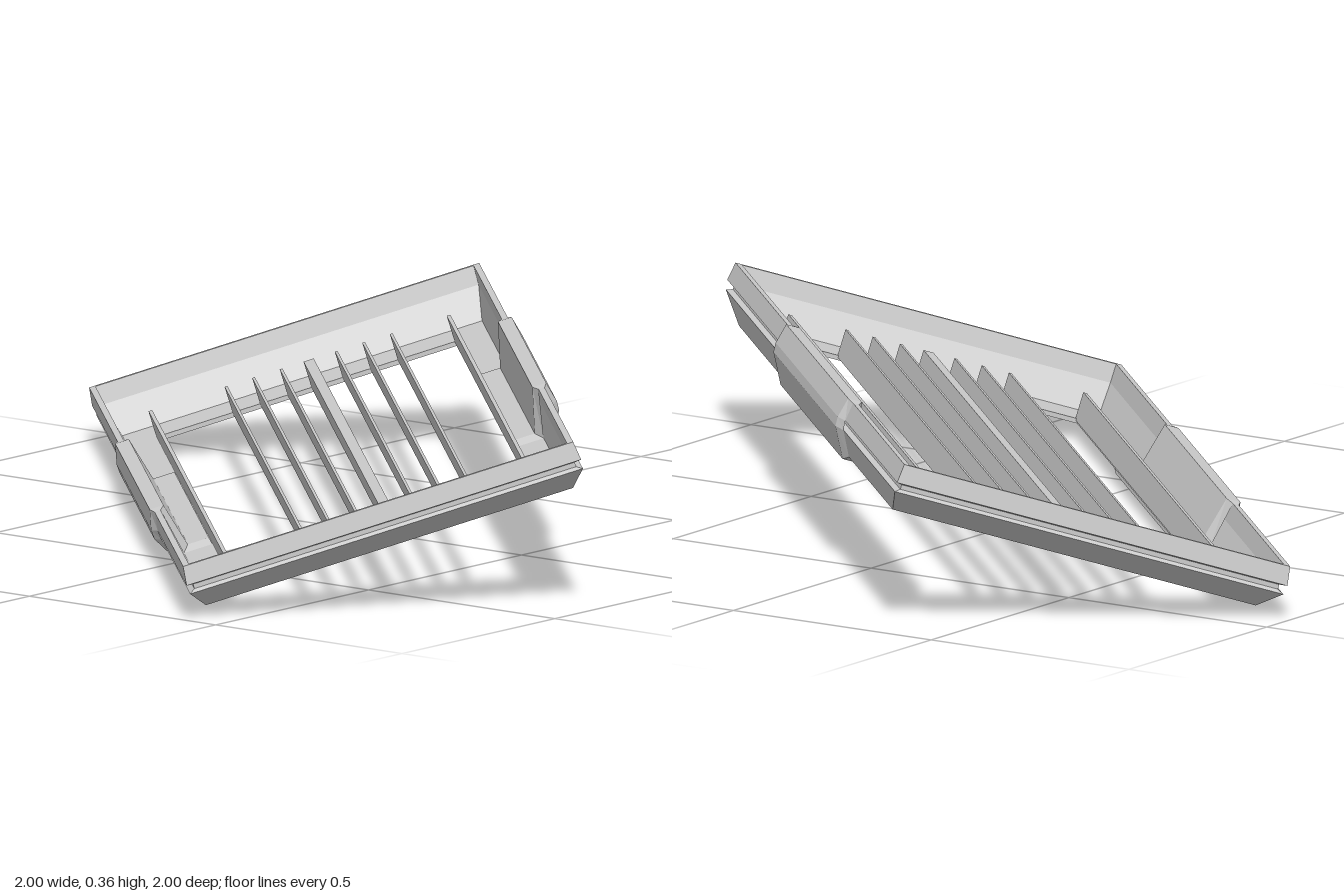
import * as THREE from 'three';

const material = new THREE.MeshStandardMaterial({ color: 0xcccccc, flatShading: true });

// Skin a list of closed rings (each an array of [x, y, z]) with flat quads.
function loft(rings, closed) {
  const pos = [];
  const last = closed ? rings.length : rings.length - 1;
  for (let i = 0; i < last; i++) {
    const a = rings[i], b = rings[(i + 1) % rings.length];
    for (let j = 0; j < a.length; j++) {
      const k = (j + 1) % a.length;
      pos.push(...a[j], ...a[k], ...b[k], ...a[j], ...b[k], ...b[j]);
    }
  }
  const g = new THREE.BufferGeometry();
  g.setAttribute('position', new THREE.Float32BufferAttribute(pos, 3));
  g.computeVertexNormals();
  return g;
}

function add(parent, name, geometry) {
  const mesh = new THREE.Mesh(geometry, material);
  mesh.name = name;
  parent.add(mesh);
  return mesh;
}

export function createModel() {
  const model = new THREE.Group();
  model.name = 'slattedFrame';

  // Everything is built flat, then turned and tilted as one panel
  const panel = new THREE.Group();
  panel.name = 'tiltedPanel';
  panel.rotation.set(0.296, -Math.PI / 4, 0, 'YXZ');
  panel.position.set(-0.006, 0.235, 0.006);
  model.add(panel);

  // Mitred frame: [half length, half width, height] round its section
  const section = [
    [0.995, 0.425, 0], [1.0, 0.43, -0.04], [0.986, 0.416, -0.044], [0.986, 0.416, -0.054],
    [0.996, 0.428, -0.06], [0.905, 0.4, -0.112], [0.8, 0.325, -0.112], [0.8, 0.325, -0.102],
    [0.915, 0.392, -0.102], [0.978, 0.41, -0.04], [0.986, 0.412, 0],
  ];
  const frameRings = section.map(([l, w, y]) => [[l, y, w], [-l, y, w], [-l, y, -w], [l, y, -w]]);
  add(panel, 'frame', loft(frameRings, true));

  // Grips: bulged sleeves around the middle of both long rails, as [z, y]
  const inner = [[0.412, 0], [0.425, 0], [0.43, -0.04], [0.428, -0.06],
    [0.4, -0.112], [0.33, -0.112], [0.33, -0.102], [0.392, -0.102]];
  const outer = [[0.402, 0.003], [0.432, 0.003], [0.442, -0.04], [0.441, -0.06],
    [0.406, -0.123], [0.332, -0.123], [0.332, -0.092], [0.378, -0.092]];
  const station = (profile, x) => profile.map(([z, y]) => [x, y, z]);
  const gripGeometry = loft([
    station(inner, -0.39), station(outer, -0.365), station(outer, 0.365), station(inner, 0.39),
  ], false);
  add(panel, 'frontGrip', gripGeometry);
  add(panel, 'backGrip', gripGeometry).rotation.y = Math.PI;

  // Thin upright slats, with a thicker one in the middle
  const bar = (name, z, thickness) => {
    const mesh = add(panel, name, new THREE.BoxGeometry(1.62, 0.06, thickness));
    mesh.position.set(0, -0.077, z);
  };
  for (let i = -3; i <= 3; i++) {
    bar(i === 0 ? 'centreBar' : 'slat', -0.02 + i * 0.06, i === 0 ? 0.022 : 0.006);
  }

  // Edge strips along the opening
  for (const s of [-1, 1]) bar('edgeStrip', s * 0.325, 0.008);

  return model;
}
